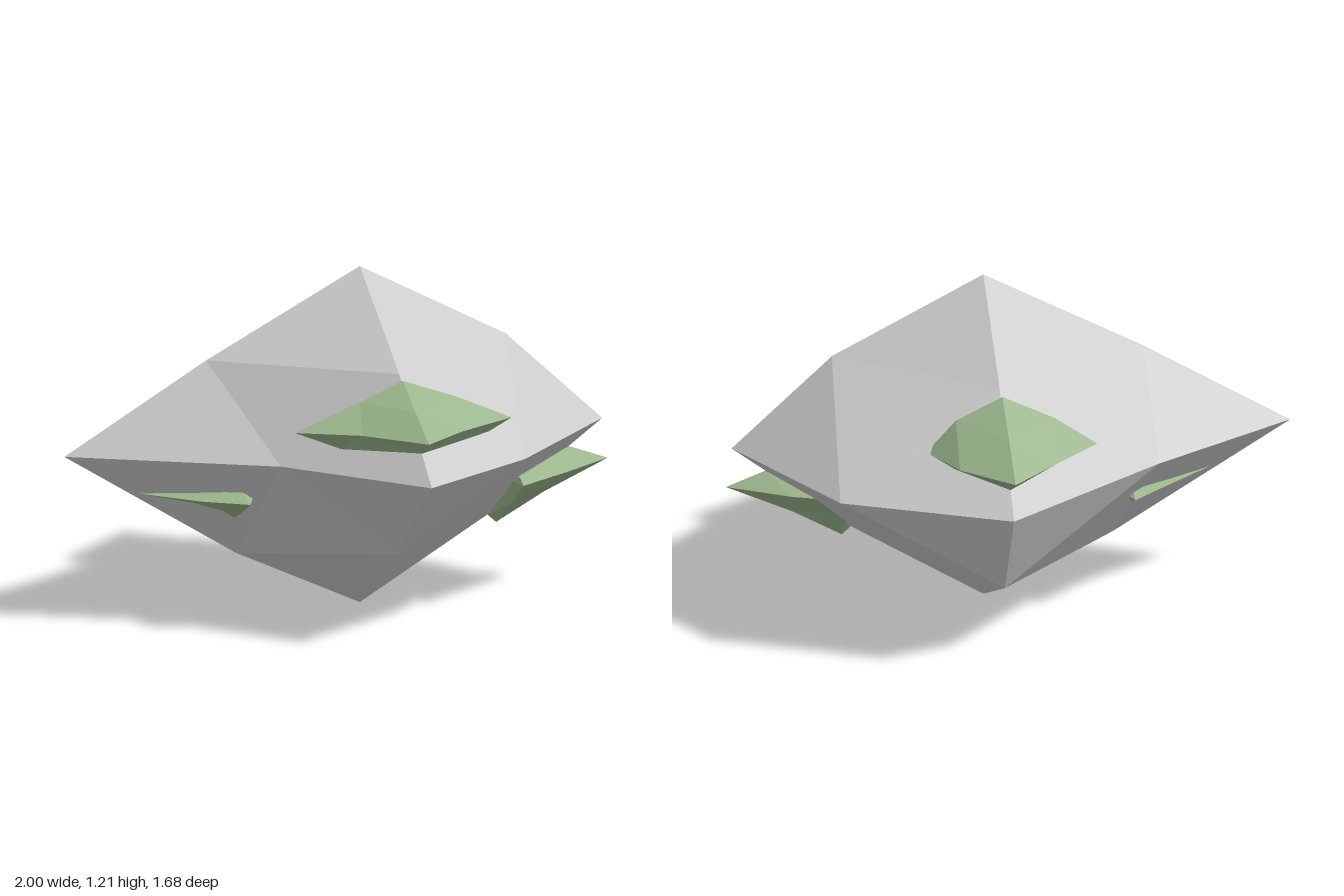
import * as THREE from 'three';

const GREY = 0xcccccc, MOSS = 0x9ab58c;

// An irregular octahedron with every face split in four.
// x, y, z: [minus, plus] tips along each axis through the centre c.
// xy, yz, xz: edge points in the planes through c, in the order (- -), (+ -), (- +), (+ +).
function makeStone(name, color, { c, x, y, z, xy, yz, xz }) {
  const [cx, cy, cz] = c;
  const pos = [];
  for (const i of [0, 1]) for (const j of [0, 1]) for (const k of [0, 1]) {
    const X = [x[i], cy, cz], Y = [cx, y[j], cz], Z = [cx, cy, z[k]];
    const a = xy[i + 2 * j], b = yz[j + 2 * k], d = xz[i + 2 * k];
    const XY = [a[0], a[1], cz], YZ = [cx, b[0], b[1]], XZ = [d[0], cy, d[1]];
    const outward = (i + j + k) % 2 === 1;
    for (const [p, q, r] of [[X, XY, XZ], [XY, Y, YZ], [XZ, YZ, Z], [XY, YZ, XZ]]) {
      pos.push(...p, ...(outward ? q : r), ...(outward ? r : q));
    }
  }
  const geometry = new THREE.BufferGeometry();
  geometry.setAttribute('position', new THREE.Float32BufferAttribute(pos, 3));
  geometry.computeVertexNormals();
  const mesh = new THREE.Mesh(geometry, new THREE.MeshStandardMaterial({ color, flatShading: true }));
  mesh.name = name;
  return mesh;
}

export function createModel() {
  const group = new THREE.Group();
  group.name = 'mossyRock';

  // Main boulder
  group.add(makeStone('boulder', GREY, {
    c: [0.085, 0.6, 0], x: [-1, 0.975], y: [0, 1.21], z: [-0.8, 0.84],
    xy: [[-0.37, 0.21], [0.55, 0.28], [-0.48, 0.91], [0.62, 0.93]],
    yz: [[0.25, -0.56], [0.955, -0.42], [0.27, 0.436], [0.925, 0.46]],
    xz: [[-0.49, -0.34], [0.665, -0.55], [-0.32, 0.37], [0.53, 0.515]],
  }));

  // Moss ledges around the boulder
  group.add(makeStone('frontMoss', MOSS, {
    c: [0.085, 0.75, 0.5], x: [-0.31, 0.485], y: [0.7, 0.91], z: [0.48, 0.81],
    xy: [[-0.14, 0.68], [0.4, 0.705], [-0.07, 0.845], [0.28, 0.84]],
    yz: [[0.71, 0.47], [0.89, 0.46], [0.7, 0.73], [0.83, 0.65]],
    xz: [[-0.16, 0.39], [0.39, 0.44], [-0.1, 0.61], [0.26, 0.65]],
  }));
  group.add(makeStone('backMoss', MOSS, {
    c: [0.085, 0.755, -0.5], x: [-0.25, 0.355], y: [0.67, 0.95], z: [-0.84, -0.46],
    xy: [[-0.1, 0.69], [0.27, 0.69], [-0.1, 0.86], [0.25, 0.87]],
    yz: [[0.683, -0.71], [0.855, -0.67], [0.7, -0.49], [0.93, -0.46]],
    xz: [[-0.08, -0.67], [0.26, -0.68], [-0.175, -0.435], [0.33, -0.48]],
  }));
  group.add(makeStone('leftMoss', MOSS, {
    c: [0.585, 0.455, 0], x: [0.54, 0.995], y: [0.253, 0.49], z: [-0.19, 0.32],
    xy: [[0.555, 0.28], [0.76, 0.35], [0.565, 0.475], [0.85, 0.508]],
    yz: [[0.375, -0.11], [0.49, -0.11], [0.365, 0.19], [0.476, 0.28]],
    xz: [[0.55, -0.1], [0.78, -0.12], [0.55, 0.15], [0.8, 0.16]],
  }));
  group.add(makeStone('rightMoss', MOSS, {
    c: [-0.41, 0.453, 0], x: [-0.75, -0.32], y: [0.313, 0.508], z: [-0.31, 0.3],
    xy: [[-0.55, 0.4], [-0.355, 0.36], [-0.53, 0.495], [-0.36, 0.475]],
    yz: [[0.4, -0.19], [0.49, -0.18], [0.39, 0.17], [0.49, 0.17]],
    xz: [[-0.55, -0.18], [-0.35, -0.15], [-0.56, 0.2], [-0.35, 0.15]],
  }));
  return group;
}
